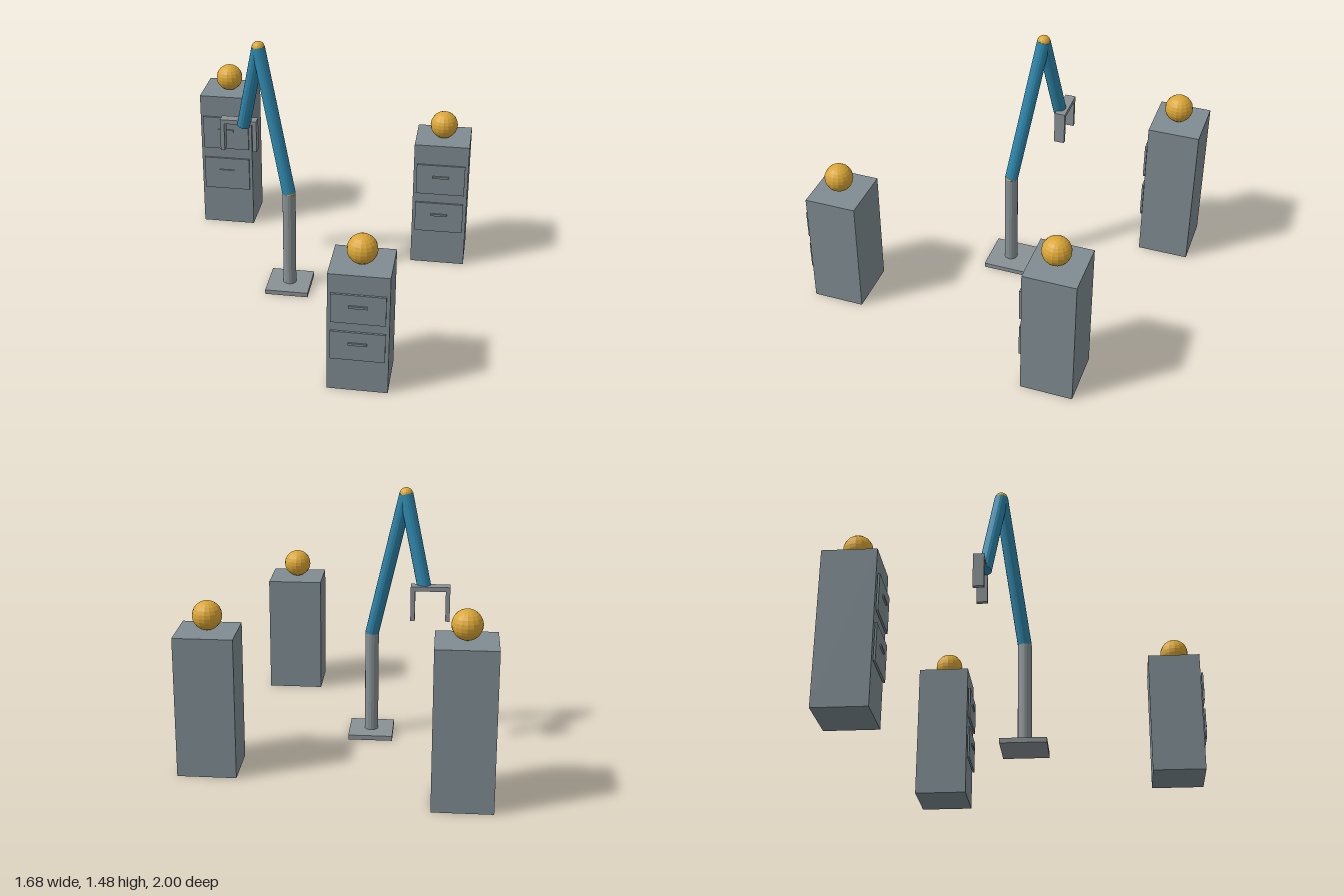
import * as THREE from 'three';

export function createModel() {
  const model = new THREE.Group();
  model.name = 'robotArmWithCabinets';

  const material = (name, color, flat = false) => {
    const m = new THREE.MeshStandardMaterial({ color, flatShading: flat });
    m.name = name;
    return m;
  };
  const cabinetGrey = material('cabinetGrey', 0x7f8c92);
  const metalGrey = material('metalGrey', 0x8a9296, true);
  const armBlue = material('armBlue', 0x2e86ab, true);
  const gold = material('gold', 0xdaa636, true);

  const add = (parent, name, geometry, mat, x, y, z) => {
    const mesh = new THREE.Mesh(geometry, mat);
    mesh.name = name;
    mesh.position.set(x, y, z);
    parent.add(mesh);
    return mesh;
  };
  const box = (parent, name, w, h, d, mat, x, y, z) =>
    add(parent, name, new THREE.BoxGeometry(w, h, d), mat, x, y, z);

  // Cabinets: two drawers with handles, and a ball resting on top
  const addCabinet = (name, x, z, height) => {
    const cabinet = new THREE.Group();
    cabinet.name = name;
    cabinet.position.set(x, 0, z);
    box(cabinet, 'cabinetBody', 0.32, height, 0.293, cabinetGrey, 0, height / 2, -0.0115);
    for (const level of [0.406, 0.726]) {
      const y = height * level;
      box(cabinet, 'drawerFront', 0.284, height * 0.242, 0.011, cabinetGrey, 0, y, 0.1455);
      box(cabinet, 'drawerHandle', 0.097, 0.013, 0.009, cabinetGrey, 0, y + height * 0.024, 0.1555);
    }
    add(cabinet, 'ball', new THREE.SphereGeometry(0.08, 16, 12), gold, 0, height + 0.08, 0);
    model.add(cabinet);
  };
  addCabinet('tallCabinet', -0.682, -0.842, 0.87);
  addCabinet('shortCabinet', 0.364, 0.84, 0.69);
  addCabinet('mediumCabinet', 0.678, -0.53, 0.78);

  // Robot arm
  const arm = new THREE.Group();
  arm.name = 'robotArm';
  model.add(arm);

  const shoulder = new THREE.Vector3(-0.16, 0.61, 0);
  const elbow = new THREE.Vector3(-0.346, 1.438, -0.12);
  const wrist = new THREE.Vector3(-0.457, 0.926, -0.195);

  // A straight round link between two points
  const addLink = (name, from, to, mat) => {
    const dir = to.clone().sub(from);
    const mid = from.clone().add(to).multiplyScalar(0.5);
    const link = add(arm, name, new THREE.CylinderGeometry(0.038, 0.038, dir.length(), 16), mat, mid.x, mid.y, mid.z);
    link.quaternion.setFromUnitVectors(new THREE.Vector3(0, 1, 0), dir.normalize());
  };
  box(arm, 'basePlate', 0.25, 0.027, 0.25, metalGrey, -0.16, 0.0135, 0);
  addLink('post', new THREE.Vector3(-0.16, 0.02, 0), shoulder, metalGrey);
  addLink('upperArm', shoulder, elbow, armBlue);
  addLink('forearm', elbow, wrist, armBlue);

  for (const [name, p] of [['shoulderJoint', shoulder], ['elbowJoint', elbow]]) {
    add(arm, name, new THREE.SphereGeometry(0.037, 16, 12), gold, p.x, p.y, p.z);
  }

  // Gripper: crossbar with two fingers
  const gripper = new THREE.Group();
  gripper.name = 'gripper';
  gripper.position.set(-0.488, 0, -0.214);
  box(gripper, 'gripperBar', 0.213, 0.025, 0.06, metalGrey, 0, 0.944, 0);
  for (const side of [-1, 1]) {
    box(gripper, 'gripperFinger', 0.024, 0.168, 0.06, metalGrey, side * 0.0945, 0.848, 0);
  }
  arm.add(gripper);

  return model;
}
